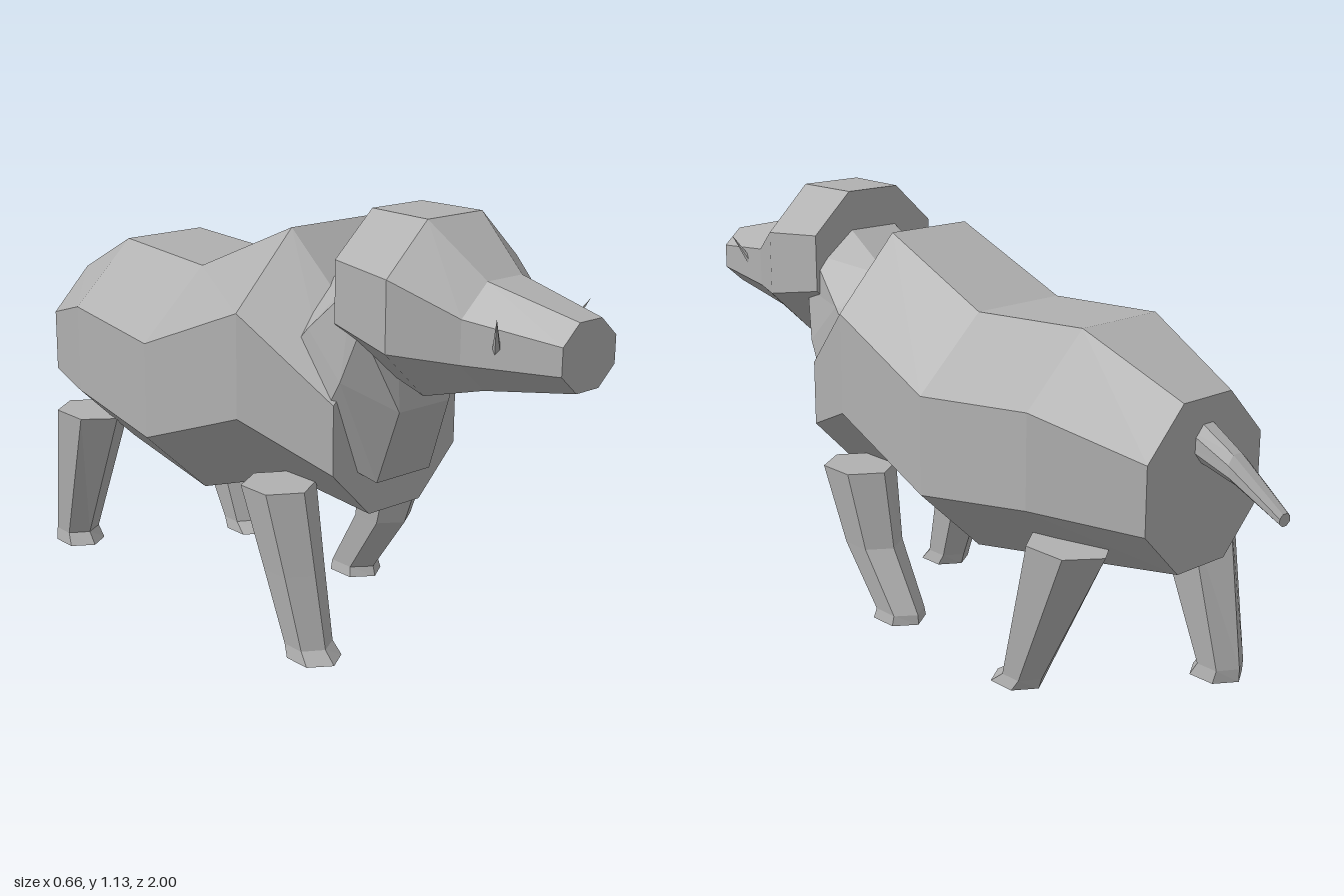
import * as THREE from 'three';

const V = (x, y, z) => new THREE.Vector3(x, y, z);

// Octagon with flat top, spanned from a bottom to a top point in the side plane.
// Entries: centre x, half width, bottom y, bottom z, top y, top z
function octagon([cx, hw, yb, zb, yt, zt]) {
  const pts = [];
  for (let i = 0; i < 8; i++) {
    const a = (i + 0.5) * Math.PI / 4, k = 1 / Math.cos(Math.PI / 8);
    const t = 0.5 + 0.5 * k * Math.sin(a);
    pts.push(V(cx + hw * k * Math.cos(a), yb + (yt - yb) * t, zb + (zt - zb) * t));
  }
  return pts;
}

// Horizontal hexagon with corners to front and back
function hexagon([cx, hw, y, z0, z1]) {
  const pts = [];
  for (let i = 0; i < 6; i++) {
    const a = i * Math.PI / 3;
    pts.push(V(cx + hw * Math.sin(a) / Math.sin(Math.PI / 3), y, (z0 + z1) / 2 + (z1 - z0) / 2 * Math.cos(a)));
  }
  return pts;
}

// Closed, faceted skin through a list of rings, ordered so faces point outward
function loft(name, rings, material) {
  const n = rings[0].length, tris = [];
  for (let r = 0; r < rings.length - 1; r++) {
    for (let i = 0; i < n; i++) {
      const j = (i + 1) % n, A = rings[r], B = rings[r + 1];
      tris.push([A[i], A[j], B[j]], [A[i], B[j], B[i]]);
    }
  }
  const first = rings[0], last = rings[rings.length - 1];
  for (let i = 1; i < n - 1; i++) {
    tris.push([first[0], first[i + 1], first[i]], [last[0], last[i], last[i + 1]]);
  }
  const volume = tris.reduce((s, [a, b, c]) => s + a.dot(b.clone().cross(c)), 0);
  if (volume < 0) tris.forEach(t => t.reverse());
  const geo = new THREE.BufferGeometry().setFromPoints(tris.flat());
  geo.computeVertexNormals();
  const mesh = new THREE.Mesh(geo, material);
  mesh.name = name;
  return mesh;
}

export function createModel() {
  const group = new THREE.Group();
  group.name = 'animal';
  const hide = new THREE.MeshStandardMaterial({ color: 0xb0b0b0 });
  hide.name = 'grey hide';

  // Barrel body with high shoulders
  group.add(loft('body', [
    [0, 0.2, 0.385, -0.8, 0.8, -0.8],
    [0, 0.305, 0.35, -0.52, 0.93, -0.52],
    [0, 0.33, 0.29, -0.17, 0.91, -0.17],
    [0, 0.305, 0.41, 0.18, 1.06, 0.18],
    [0, 0.21, 0.37, 0.43, 0.8, 0.43],
  ].map(octagon), hide));

  // Neck bulging forward over the chest
  group.add(loft('neck', [
    [0, 0.18, 0.8, 0.51, 1.04, 0.44],
    [0, 0.205, 0.655, 0.527, 0.925, 0.25],
    [0, 0.22, 0.46, 0.46, 0.8, 0.1],
  ].map(octagon), hide));

  // Head tapering to the snout
  group.add(loft('head', [
    [0, 0.2, 0.765, 0.42, 1.135, 0.42],
    [0, 0.218, 0.717, 0.61, 1.135, 0.61],
    [0.01, 0.14, 0.755, 0.76, 1.01, 0.76],
    [0.022, 0.09, 0.795, 1, 0.955, 1],
  ].map(octagon), hide));

  // Small tusks on both sides of the snout
  for (const side of [-1, 1]) {
    const base = V(0.012 + side * 0.105, 0.86, 0.835), tip = V(0.008 + side * 0.158, 0.962, 0.882);
    const dir = tip.clone().sub(base);
    const tusk = new THREE.Mesh(new THREE.ConeGeometry(0.012, dir.length(), 5).toNonIndexed(), hide);
    tusk.geometry.computeVertexNormals();
    tusk.position.copy(base).add(tip).multiplyScalar(0.5);
    tusk.quaternion.setFromUnitVectors(V(0, 1, 0), dir.normalize());
    tusk.name = side > 0 ? 'leftTusk' : 'rightTusk';
    group.add(tusk);
  }

  // Drooping tail
  group.add(loft('tail', [
    [0, 0.045, 0.655, -0.77, 0.765, -0.76],
    [-0.015, 0.035, 0.61, -0.89, 0.68, -0.88],
    [-0.045, 0.019, 0.53, -1, 0.56, -1],
  ].map(octagon), hide));

  // Legs in mid stride: centre x, half width, y, back z, front z
  const legs = {
    frontLeftLeg: [
      [0.215, 0.083, 0.43, 0.12, 0.33], [0.212, 0.064, 0.222, 0.088, 0.257],
      [0.21, 0.053, 0.057, -0.008, 0.14], [0.21, 0.059, 0.03, -0.01, 0.148]],
    frontRightLeg: [
      [-0.218, 0.083, 0.43, 0.14, 0.335], [-0.215, 0.066, 0.22, 0.215, 0.375],
      [-0.213, 0.053, 0.032, 0.285, 0.412], [-0.213, 0.059, 0, 0.295, 0.445]],
    hindLeftLeg: [
      [0.215, 0.083, 0.43, -0.695, -0.455],
      [0.21, 0.053, 0.045, -0.485, -0.37], [0.21, 0.059, 0.015, -0.475, -0.325]],
    hindRightLeg: [
      [-0.218, 0.083, 0.43, -0.71, -0.47],
      [-0.213, 0.053, 0.035, -0.765, -0.64], [-0.213, 0.059, 0, -0.765, -0.615]],
  };
  for (const [name, rings] of Object.entries(legs)) {
    group.add(loft(name, rings.map(hexagon), hide));
  }

  return group;
}
